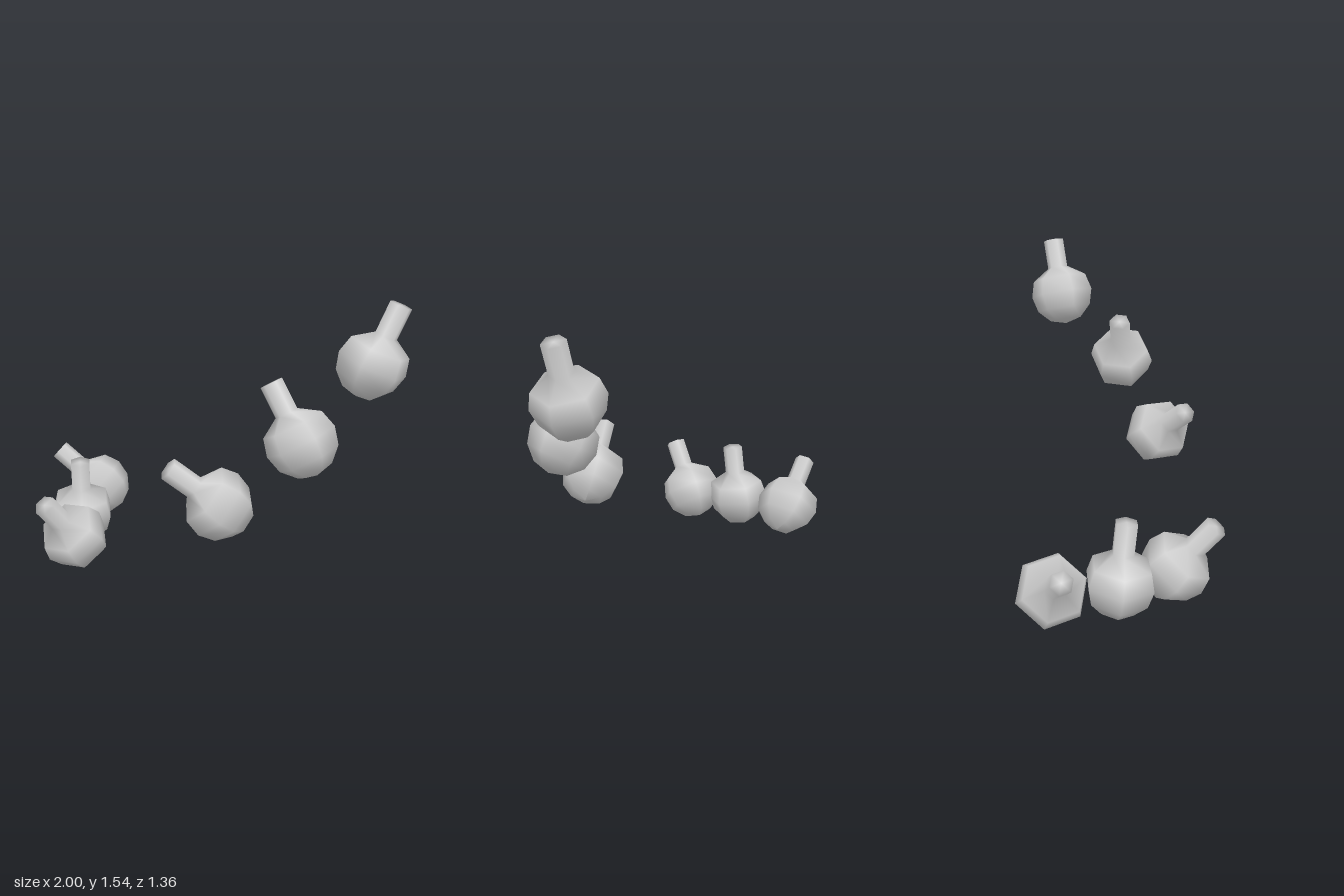
import * as THREE from 'three';

const UP = new THREE.Vector3(0, 1, 0);

// Six-sided flask: round body below, straight closed neck above, origin at the body centre
function flaskGeometry() {
  const R = 0.188, neckR = 0.06;
  const profile = [];
  for (let i = 0; i <= 4; i++) {
    const a = (i * Math.PI) / 6;
    profile.push(new THREE.Vector2(R * Math.sin(a), -R * Math.cos(a)));
  }
  profile.push(
    new THREE.Vector2(neckR, 0.16),
    new THREE.Vector2(neckR, 0.329),
    new THREE.Vector2(0, 0.329)
  );
  return new THREE.LatheGeometry(profile, 6);
}

// Body centre, neck direction, and angle of one body corner around the neck axis
const FLASKS = [
  { at: [0.815, 1.213, 0.218], neck: [0.37, 0.93, 0], corner: 0 },
  { at: [0.44, 0.88, 0.45], neck: [-0.45, 0.85, -0.28], corner: 7 },
  { at: [0.03, 0.55, 0.485], neck: [-0.76, 0.64, 0.09], corner: 30 },
  { at: [-0.773, 0.187, 0.158], neck: [-0.37, 0.81, 0.46], corner: 25 },
  { at: [-0.775, 0.187, -0.16], neck: [0.03, 0.99, 0.11], corner: 22 },
  { at: [-0.715, 0.195, -0.505], neck: [-0.745, 0.65, -0.15], corner: 30 },
];

export function createModel() {
  const model = new THREE.Group();
  model.name = 'floatingFlasks';
  const geometry = flaskGeometry();
  const material = new THREE.MeshStandardMaterial({ color: 0xcccccc, side: THREE.DoubleSide });

  FLASKS.forEach(({ at, neck, corner }, i) => {
    const flask = new THREE.Mesh(geometry, material);
    flask.name = `flask${i + 1}`;
    flask.position.set(...at);
    flask.quaternion.setFromUnitVectors(UP, new THREE.Vector3(...neck).normalize());
    flask.rotateY(THREE.MathUtils.degToRad(30 - corner));
    model.add(flask);
  });
  return model;
}
